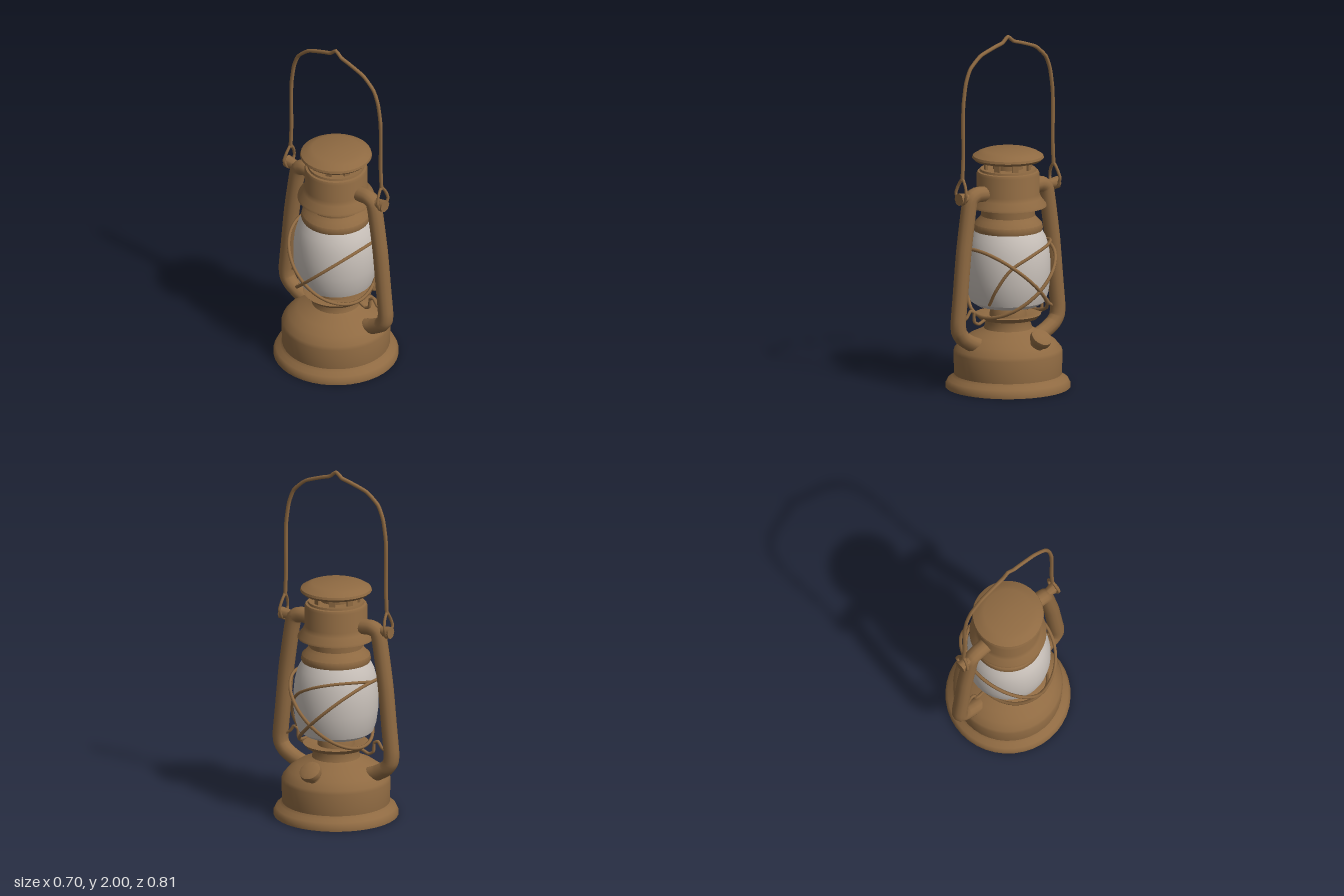
import * as THREE from 'three';
import { toCreasedNormals } from 'three/addons/utils/BufferGeometryUtils.js';

const brass = new THREE.MeshStandardMaterial({ color: 0x8f6a42, side: THREE.DoubleSide });
brass.name = 'agedBrass';
const glass = new THREE.MeshStandardMaterial({ color: 0xc9c1ba, side: THREE.DoubleSide });
glass.name = 'frostedGlass';

const V = (x, y, z) => new THREE.Vector3(x, y, z);

function add(parent, name, geometry, material = brass) {
  const mesh = new THREE.Mesh(geometry, material);
  mesh.name = name;
  parent.add(mesh);
  return mesh;
}

// Turned part from [radius, height] pairs, bottom to top
function turned(parent, name, profile, material = brass) {
  const points = profile.map(([r, y]) => new THREE.Vector2(r, y));
  const geometry = toCreasedNormals(new THREE.LatheGeometry(points, 40), 0.6);
  return add(parent, name, geometry, material);
}

// Bent wire or pipe through a list of points
function bent(parent, name, points, radius, sides = 8, closed = false, tension = 0.3) {
  const curve = new THREE.CatmullRomCurve3(points, closed, 'catmullrom', tension);
  return add(parent, name, new THREE.TubeGeometry(curve, points.length * 6, radius, sides, closed));
}

export function createModel() {
  const lantern = new THREE.Group();
  lantern.name = 'lantern';

  // Fuel tank with flared foot and domed shoulder
  turned(lantern, 'fuelTank', [
    [0, 0], [0.348, 0], [0.348, 0.02], [0.335, 0.045], [0.31, 0.06], [0.3, 0.075],
    [0.305, 0.2], [0.298, 0.22], [0.265, 0.26], [0.215, 0.295], [0.165, 0.318],
    [0.135, 0.335], [0.125, 0.37], [0.13, 0.395], [0, 0.395]
  ]);

  // Burner plate and domed burner
  turned(lantern, 'burnerPlate', [
    [0.1, 0.385], [0.165, 0.392], [0.185, 0.415], [0.175, 0.418], [0.1, 0.405], [0.1, 0.385]
  ]);
  turned(lantern, 'burnerDome', [
    [0.105, 0.39], [0.1, 0.44], [0.085, 0.475], [0.05, 0.488], [0, 0.49]
  ]);

  // Glass globe, open at both ends
  turned(lantern, 'globe', [
    [0.12, 0.47], [0.175, 0.468], [0.208, 0.49], [0.225, 0.54], [0.236, 0.62], [0.238, 0.7],
    [0.23, 0.78], [0.212, 0.85], [0.188, 0.895]
  ], glass);

  // Collar above the globe and the chimney hood
  turned(lantern, 'globeCollar', [
    [0.17, 0.885], [0.188, 0.885], [0.195, 0.905], [0.19, 0.93], [0.165, 0.955],
    [0.15, 0.975], [0.15, 1.06]
  ]);
  turned(lantern, 'hood', [
    [0.15, 1.045], [0.215, 1.028], [0.212, 1.04], [0.185, 1.075], [0.175, 1.1],
    [0.176, 1.21], [0.17, 1.225], [0.158, 1.228], [0.155, 1.24], [0, 1.24]
  ]);

  // Vent posts and inner flue under the cap
  turned(lantern, 'flue', [[0.085, 1.235], [0.085, 1.3]]);
  for (let i = 0; i < 8; i++) {
    const angle = (i + 0.5) * Math.PI / 4;
    const post = add(lantern, 'ventPost', new THREE.BoxGeometry(0.035, 0.07, 0.012));
    post.position.set(0.13 * Math.sin(angle), 1.265, 0.13 * Math.cos(angle));
    post.rotation.y = angle;
  }
  turned(lantern, 'chimneyCap', [
    [0, 1.288], [0.15, 1.285], [0.185, 1.287], [0.2, 1.302], [0.196, 1.315],
    [0.165, 1.333], [0.135, 1.344], [0, 1.346]
  ]);

  // Filler cap leaning out of the tank shoulder
  const filler = new THREE.Group();
  filler.name = 'filler';
  filler.position.set(0.225, 0.25, -0.005);
  filler.rotation.z = -0.67;
  turned(filler, 'fillerCap', [
    [0.04, 0], [0.04, 0.05], [0.058, 0.06], [0.062, 0.075], [0.06, 0.096], [0.045, 0.103], [0, 0.103]
  ]);
  lantern.add(filler);

  // Air pipes, ears and wire loops on both sides
  for (const s of [1, -1]) {
    const side = new THREE.Group();
    side.name = s > 0 ? 'frontSide' : 'backSide';
    lantern.add(side);

    bent(side, 'airPipe', [
      V(0, 1.115, s * 0.15), V(0, 1.12, s * 0.23), V(0, 1.1, s * 0.272), V(0, 1.04, s * 0.288),
      V(0, 0.8, s * 0.324), V(0, 0.55, s * 0.349), V(0, 0.41, s * 0.363), V(0, 0.355, s * 0.358),
      V(0, 0.315, s * 0.328), V(0, 0.28, s * 0.27), V(0, 0.26, s * 0.22)
    ], 0.044, 12);

    const ear = add(side, 'bailEar', new THREE.CylinderGeometry(0.036, 0.024, 0.075, 8));
    ear.rotation.x = s * Math.PI / 2;
    ear.position.set(0, 1.11, s * 0.322);

    // Pointed eye at the end of the bail
    bent(side, 'bailEye', [
      V(0, 1.225, s * 0.333), V(-0.03, 1.185, s * 0.337), V(-0.044, 1.14, s * 0.343),
      V(-0.025, 1.095, s * 0.34), V(0, 1.08, s * 0.336), V(0.025, 1.095, s * 0.34),
      V(0.044, 1.14, s * 0.343), V(0.03, 1.185, s * 0.337)
    ], 0.009, 6, true);

    // Globe lifting wire between burner plate and pipe
    bent(side, 'liftWire', [
      V(0, 0.41, s * 0.14), V(0, 0.395, s * 0.18), V(0, 0.382, s * 0.215), V(0, 0.4, s * 0.245),
      V(0, 0.45, s * 0.25), V(0, 0.463, s * 0.275), V(0, 0.43, s * 0.3), V(0, 0.41, s * 0.335)
    ], 0.009, 6);

    // Tilted guard ring, crossing its mirror image on either side
    const ring = [];
    for (let i = 0; i < 24; i++) {
      const a = i * Math.PI / 12;
      ring.push(V(0.277 * Math.cos(a), 0.612 + 0.195 * Math.sin(a), s * (0.03 + 0.21 * Math.sin(a))));
    }
    bent(side, 'guardRing', ring, 0.01, 6, true, 0.5);
  }

  // Extra guard wire hugging the globe
  bent(lantern, 'guardWire', [
    V(0.08, 0.5, 0.205), V(0.14, 0.6, 0.2), V(0.195, 0.71, 0.145), V(0.236, 0.78, 0.03),
    V(0.215, 0.82, -0.1), V(0.12, 0.825, -0.205), V(0, 0.805, -0.24)
  ], 0.009, 6, false, 0.5);

  // Carrying bail with a pointed crown
  const half = [
    [0.333, 1.215], [0.327, 1.35], [0.328, 1.52], [0.326, 1.64], [0.308, 1.76],
    [0.275, 1.84], [0.2, 1.905], [0.09, 1.943], [0.04, 1.957]
  ];
  bent(lantern, 'bail', [
    ...half.map(([z, y]) => V(0, y, z)),
    V(0, 1.988, 0),
    ...half.slice().reverse().map(([z, y]) => V(0, y, -z))
  ], 0.011, 6);

  return lantern;
}
